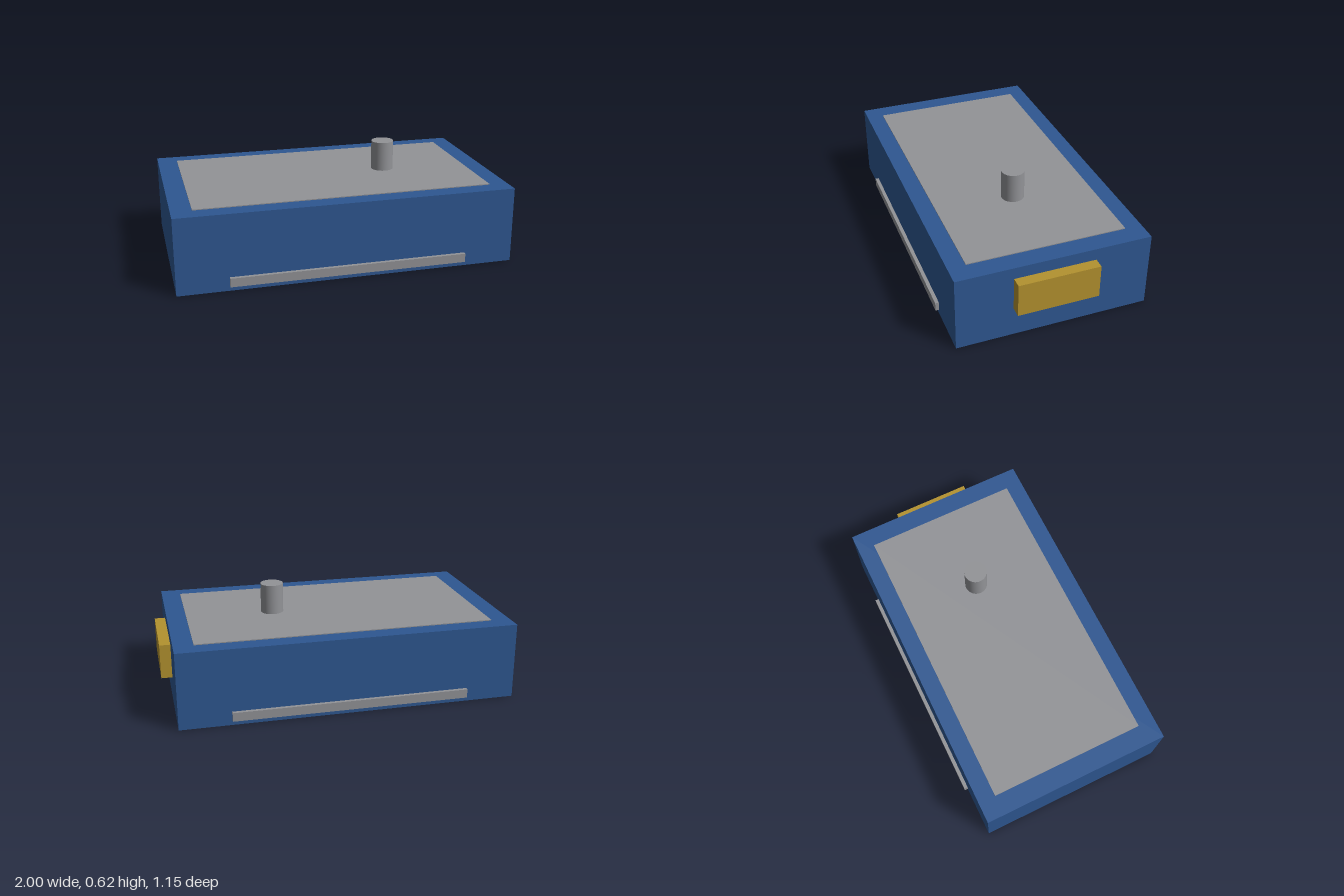
import * as THREE from 'three';

export function createModel() {
  const model = new THREE.Group();
  model.name = 'enclosure';

  const material = (name, color) => {
    const m = new THREE.MeshStandardMaterial({ color });
    m.name = name;
    return m;
  };
  const blue = material('blue housing', 0x2e5791);
  const grey = material('grey metal', 0x929397);
  const gold = material('gold connector', 0xb3922f);

  const add = (name, geometry, mat, x, y, z) => {
    const mesh = new THREE.Mesh(geometry, mat);
    mesh.name = name;
    mesh.position.set(x, y, z);
    model.add(mesh);
  };
  // Box given by its limits on each axis
  const box = (name, mat, [x0, x1], [y0, y1], [z0, z1]) =>
    add(name, new THREE.BoxGeometry(x1 - x0, y1 - y0, z1 - z0), mat,
      (x0 + x1) / 2, (y0 + y1) / 2, (z0 + z1) / 2);

  // Housing and the thin plate on its top
  box('housing', blue, [-1, 0.938], [0, 0.444], [-0.555, 0.555]);
  box('topPlate', grey, [-0.884, 0.826], [0.443, 0.449], [-0.455, 0.455]);

  // Upright post
  const top = 0.622, base = 0.447;
  add('post', new THREE.CylinderGeometry(0.066, 0.066, top - base, 48), grey,
    0.318, (top + base) / 2, 0);

  // Connector block on the left end
  box('connector', gold, [0.937, 1], [0.177, 0.375], [-0.233, 0.233]);

  // Mounting rails along the front and back
  box('frontRail', grey, [-0.71, 0.646], [0.029, 0.08], [0.554, 0.576]);
  box('backRail', grey, [-0.71, 0.646], [0.029, 0.08], [-0.576, -0.554]);

  return model;
}
